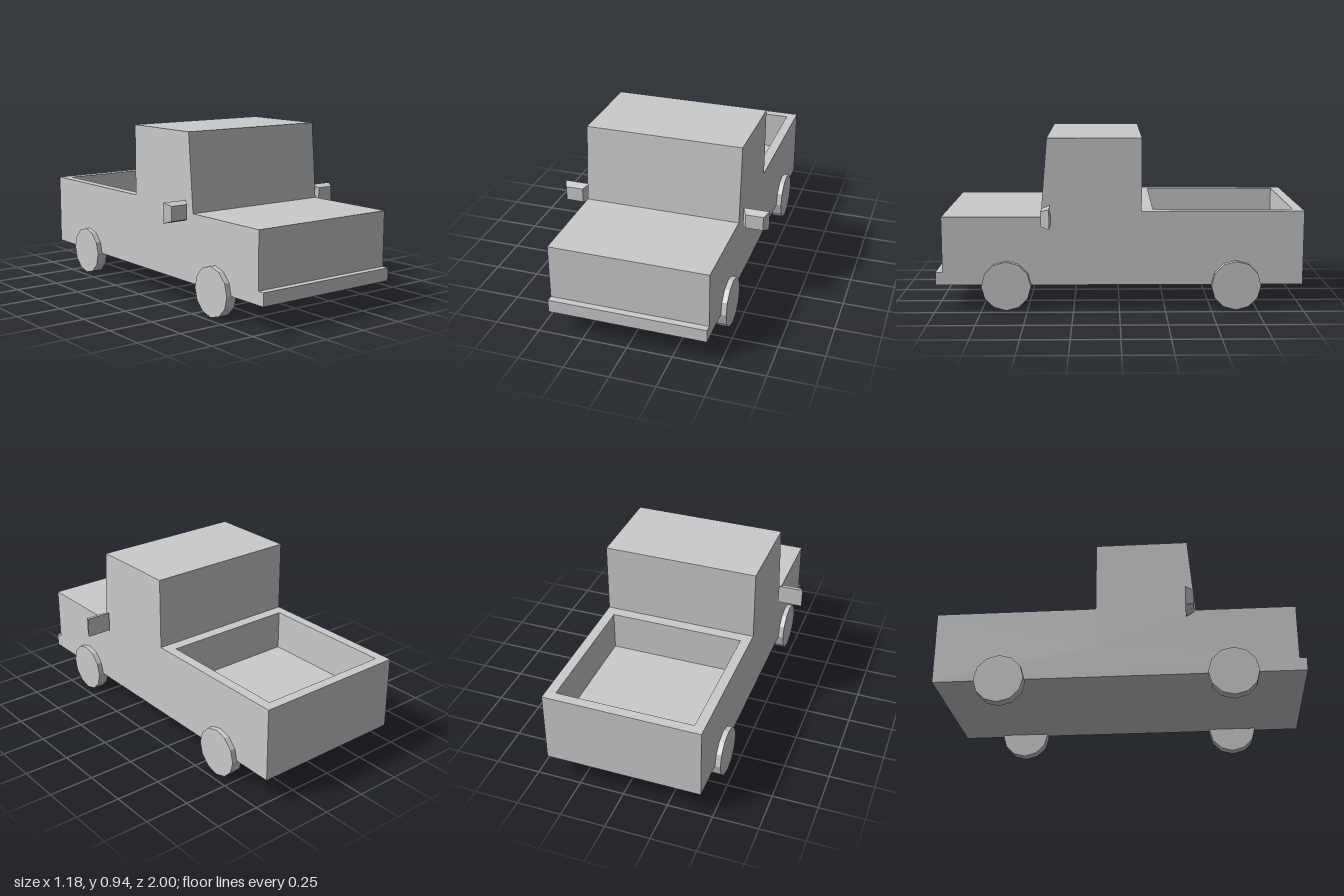
import * as THREE from 'three';

const W = 0.87; // body width
const material = new THREE.MeshStandardMaterial({ color: 0xcccccc, flatShading: true });

function addMesh(parent, name, geometry, x = 0, y = 0, z = 0) {
  const mesh = new THREE.Mesh(geometry, material);
  mesh.name = name;
  mesh.position.set(x, y, z);
  parent.add(mesh);
  return mesh;
}

const outline = (points) => points.map(([a, b]) => new THREE.Vector2(a, b));

// Side profile (z, y): bumper, bonnet, cab and bed floor, extruded across x
function bodyGeometry() {
  const profile = [
    [1, 0.137], [1, 0.208], [0.962, 0.208], [0.962, 0.513], [0.425, 0.513],
    [0.388, 0.94], [-0.12, 0.94], [-0.12, 0.32], [-1, 0.32], [-1, 0.137],
  ];
  const shape = new THREE.Shape(outline(profile.map(([z, y]) => [-z, y])));
  const geometry = new THREE.ExtrudeGeometry(shape, { depth: W, bevelEnabled: false });
  return geometry.translate(0, 0, -W / 2).rotateY(Math.PI / 2);
}

// Bed walls: rectangular ring in plan (x, -z), extruded upwards
function bedWallGeometry() {
  const rect = (x, near, far) => outline([[-x, near], [x, near], [x, far], [-x, far]]);
  const shape = new THREE.Shape(rect(W / 2, 0.12, 1));
  shape.holes.push(new THREE.Path(rect(0.38, 0.183, 0.945)));
  const geometry = new THREE.ExtrudeGeometry(shape, { depth: 0.223, bevelEnabled: false });
  return geometry.rotateX(-Math.PI / 2);
}

// Mirror housing: box tapering towards the front
function mirrorGeometry() {
  const geometry = new THREE.BoxGeometry(0.144, 0.11, 0.046);
  const p = geometry.attributes.position;
  for (let i = 0; i < p.count; i++) {
    if (p.getZ(i) > 0) p.setXY(i, p.getX(i) * 0.68, p.getY(i) * 0.73);
  }
  geometry.computeVertexNormals();
  return geometry;
}

export function createModel() {
  const truck = new THREE.Group();
  truck.name = 'pickupTruck';

  addMesh(truck, 'body', bodyGeometry());
  addMesh(truck, 'bedWalls', bedWallGeometry(), 0, 0.32, 0);

  // Twelve-sided wheels and wing mirrors on both sides
  const wheel = new THREE.CylinderGeometry(0.135, 0.135, 0.062, 12).rotateZ(Math.PI / 2);
  const mirror = mirrorGeometry();
  for (const [side, s] of [['left', 1], ['right', -1]]) {
    addMesh(truck, side + 'FrontWheel', wheel, s * 0.433, 0.136, 0.615);
    addMesh(truck, side + 'RearWheel', wheel, s * 0.433, 0.136, -0.635);
    addMesh(truck, side + 'Mirror', mirror, s * 0.517, 0.525, 0.395);
  }
  return truck;
}
